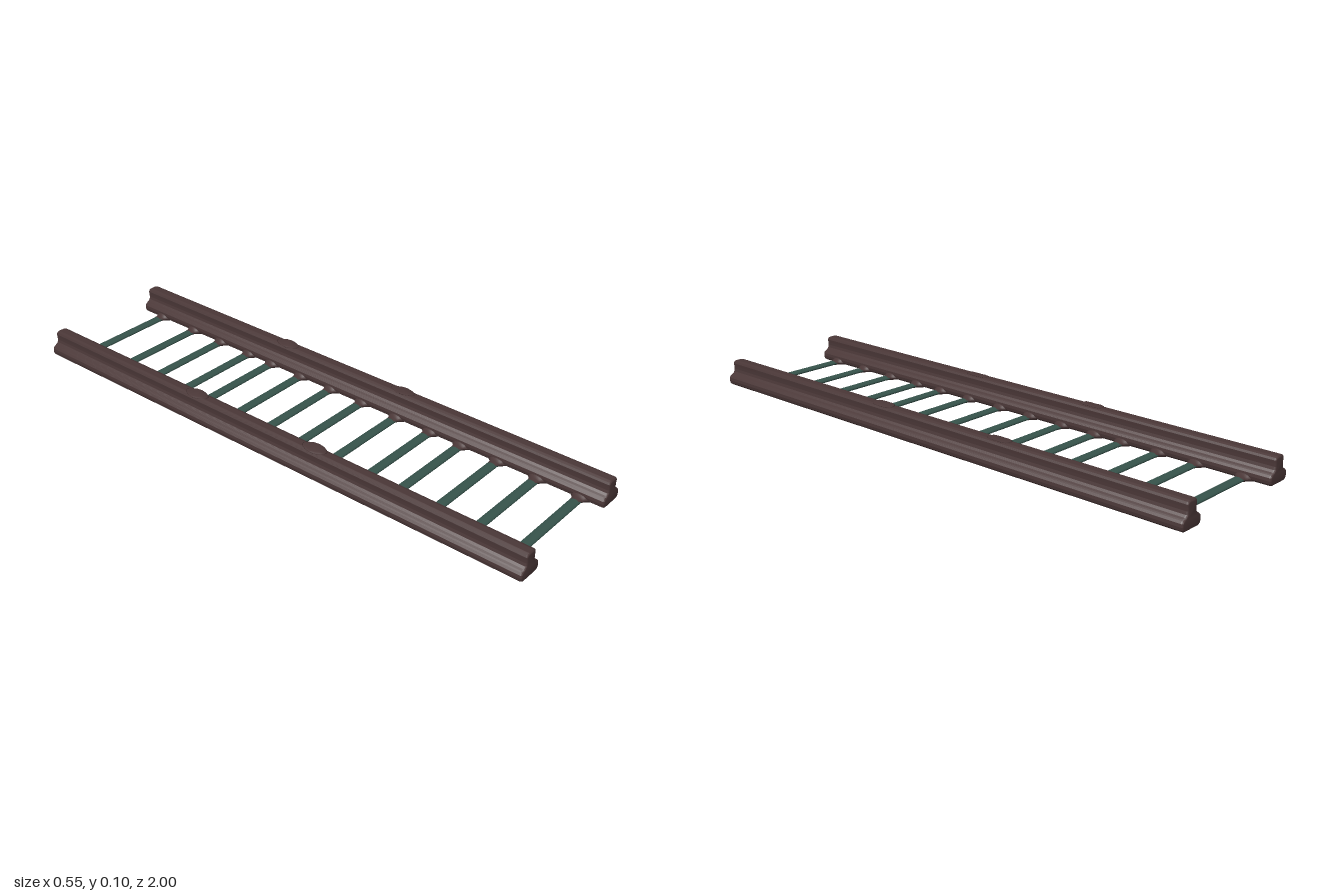
import * as THREE from 'three';
import { toCreasedNormals } from 'three/addons/utils/BufferGeometryUtils.js';

const railMat = new THREE.MeshStandardMaterial({ color: 0x4a3737, name: 'dark brown' });
const rungMat = new THREE.MeshStandardMaterial({ color: 0x36534b, name: 'dark green' });

function add(parent, name, geometry, material) {
  const mesh = new THREE.Mesh(geometry, material);
  mesh.name = name;
  parent.add(mesh);
  return mesh;
}

// Side rail: wide rounded foot, concave shoulders and a narrow upright head
function railGeometry() {
  const half = [[0.034, 0.002], [0.043, 0.009], [0.046, 0.022], [0.044, 0.033], [0.036, 0.040],
    [0.027, 0.046], [0.0225, 0.055], [0.0225, 0.070], [0.0235, 0.080], [0.019, 0.088], [0.008, 0.0905]];
  const right = half.map(([x, y]) => new THREE.Vector2(x, y));
  const left = half.map(([x, y]) => new THREE.Vector2(-x, y)).reverse();
  const shape = new THREE.Shape();
  shape.moveTo(-0.034, 0.002);
  shape.lineTo(0.034, 0.002);
  shape.splineThru(right.slice(1));
  shape.lineTo(-0.008, 0.0905);
  shape.splineThru(left.slice(1));
  const bevel = 0.007;
  const geo = new THREE.ExtrudeGeometry(shape, {
    depth: 2 - 2 * bevel, curveSegments: 24, bevelEnabled: true,
    bevelThickness: bevel, bevelSize: bevel, bevelOffset: -bevel, bevelSegments: 3,
  });
  geo.translate(0, 0, -1 + bevel);
  return toCreasedNormals(geo, 0.7);
}

// Flared socket along +x, with its underside flattened
function socketGeometry() {
  const profile = [[0.016, 0], [0.018, 0.012], [0.023, 0.022], [0.034, 0.032], [0.04, 0.045]]
    .map(([r, d]) => new THREE.Vector2(r, d));
  const geo = new THREE.LatheGeometry(profile, 20);
  geo.rotateZ(-Math.PI / 2);
  geo.scale(1, 0.55, 1);
  geo.translate(0.157, 0.0095, 0);
  const p = geo.attributes.position;
  for (let i = 0; i < p.count; i++) p.setY(i, Math.max(p.getY(i), 0.002));
  geo.computeVertexNormals();
  return geo;
}

// Thin uneven oval chip that lies on the head of a rail
function chipGeometry() {
  const geo = new THREE.SphereGeometry(1, 14, 8);
  const p = geo.attributes.position;
  for (let i = 0; i < p.count; i++) {
    const x = p.getX(i), z = p.getZ(i);
    p.setXYZ(i, x * 0.024, p.getY(i) * 0.004 + 0.0012 * Math.sin(4 * z + 2 * x), z * 0.048);
  }
  geo.computeVertexNormals();
  return geo;
}

export function createModel() {
  const ladder = new THREE.Group();
  ladder.name = 'ladder';

  // Rails
  const rail = railGeometry();
  add(ladder, 'leftRail', rail, railMat).position.x = 0.228;
  add(ladder, 'rightRail', rail, railMat).position.x = -0.228;

  // Rungs with a socket at each end
  const rungZ = [-0.905, -0.737, -0.597, -0.456, -0.345, -0.207, -0.069,
    0.069, 0.215, 0.355, 0.477, 0.618, 0.764, 0.917];
  const rung = new THREE.CylinderGeometry(0.0175, 0.0175, 0.4, 16);
  rung.rotateZ(Math.PI / 2);
  rung.scale(1, 0.4, 1);
  const socket = socketGeometry();
  for (const z of rungZ) {
    add(ladder, 'rung', rung, rungMat).position.set(0, 0.0095, z);
    for (const turn of [0, Math.PI]) {
      const s = add(ladder, 'rungSocket', socket, railMat);
      s.position.z = z;
      s.rotation.y = turn;
    }
  }

  // Worn chips on the rail heads
  const chip = chipGeometry();
  for (const [x, z, tilt] of [[0.226, -0.3, 0.05], [-0.226, 0.21, 0.12], [0.23, 0.21, -0.08], [-0.23, -0.3, 0.08]]) {
    const c = add(ladder, 'railChip', chip, railMat);
    c.position.set(x, 0.091, z);
    c.rotation.z = tilt;
  }
  return ladder;
}
